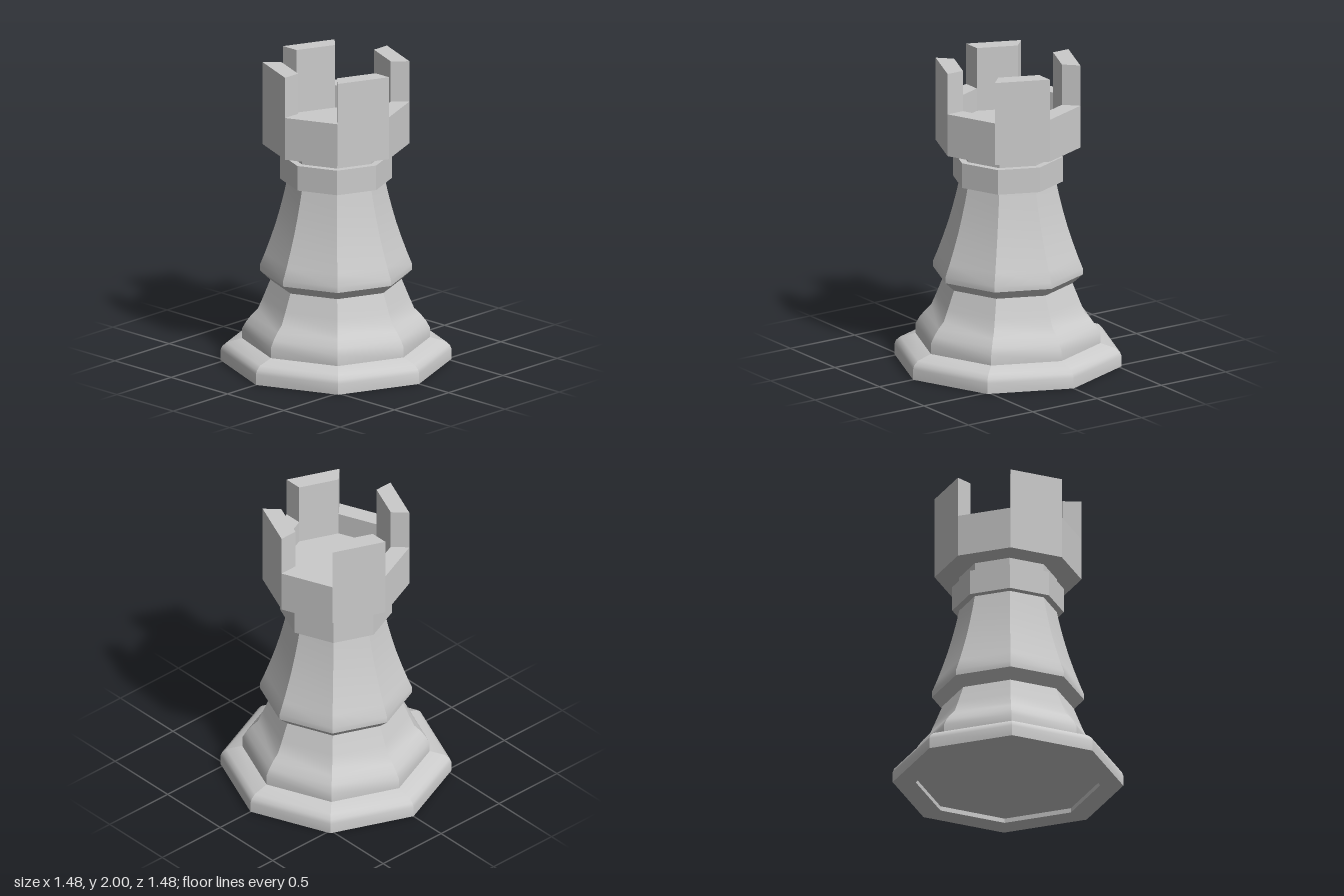
import * as THREE from 'three';
import { mergeGeometries, toCreasedNormals } from 'three/addons/utils/BufferGeometryUtils.js';

const SIDES = 8;
const STEP = (Math.PI * 2) / SIDES;
const material = new THREE.MeshStandardMaterial({ color: 0xcccccc });

// Eight-sided turning: hard corners between sides, soft bends along the profile
function turned(name, profile) {
  const points = profile.map(([r, y]) => new THREE.Vector2(r, y));
  const side = toCreasedNormals(new THREE.LatheGeometry(points, 1, 0, STEP), 0.56);
  const sides = [];
  for (let i = 0; i < SIDES; i++) sides.push(side.clone().rotateY(i * STEP));
  const mesh = new THREE.Mesh(mergeGeometries(sides), material);
  mesh.name = name;
  return mesh;
}

// Upright block filling one side of the battlement ring
function merlon(index, outer, inner, bottom, top) {
  const corner = (r, a) => new THREE.Vector2(r * Math.cos(a), r * Math.sin(a));
  const shape = new THREE.Shape([
    corner(inner, -STEP), corner(outer, -STEP), corner(outer, 0), corner(inner, 0),
  ]);
  const geometry = new THREE.ExtrudeGeometry(shape, { depth: top - bottom, bevelEnabled: false });
  geometry.rotateX(-Math.PI / 2);
  const mesh = new THREE.Mesh(geometry, material);
  mesh.name = `merlon${index + 1}`;
  mesh.position.y = bottom;
  mesh.rotation.y = index * 2 * STEP;
  return mesh;
}

export function createModel() {
  const group = new THREE.Group();
  group.name = 'rook';

  group.add(
    // Plinth with a shallow recess underneath
    turned('base', [
      [0, 0.03], [0.59, 0.03], [0.59, 0], [0.738, 0], [0.738, 0.07],
      [0.728, 0.095], [0.70, 0.12], [0.60, 0.148],
    ]),
    // Flared foot
    turned('foot', [
      [0.60, 0.148], [0.60, 0.215], [0.575, 0.26], [0.54, 0.305], [0.50, 0.345],
      [0.468, 0.42], [0.442, 0.485], [0.42, 0.54],
    ]),
    // Projecting waist and tapering shaft
    turned('shaft', [
      [0.42, 0.54], [0.487, 0.602], [0.487, 0.64], [0.455, 0.72], [0.419, 0.82],
      [0.386, 0.92], [0.358, 1.02], [0.333, 1.12], [0.312, 1.217],
    ]),
    turned('collar', [[0.312, 1.217], [0.357, 1.217], [0.357, 1.382], [0.312, 1.382]]),
    turned('neck', [[0.312, 1.382], [0.312, 1.45]]),
    // Hollow head with its sunken floor
    turned('battlement', [
      [0.312, 1.45], [0.47, 1.45], [0.47, 1.73], [0.35, 1.73], [0.35, 1.58], [0, 1.58],
    ]),
  );

  // Merlons on every other side
  for (let i = 0; i < SIDES / 2; i++) group.add(merlon(i, 0.47, 0.35, 1.73, 2));

  return group;
}
